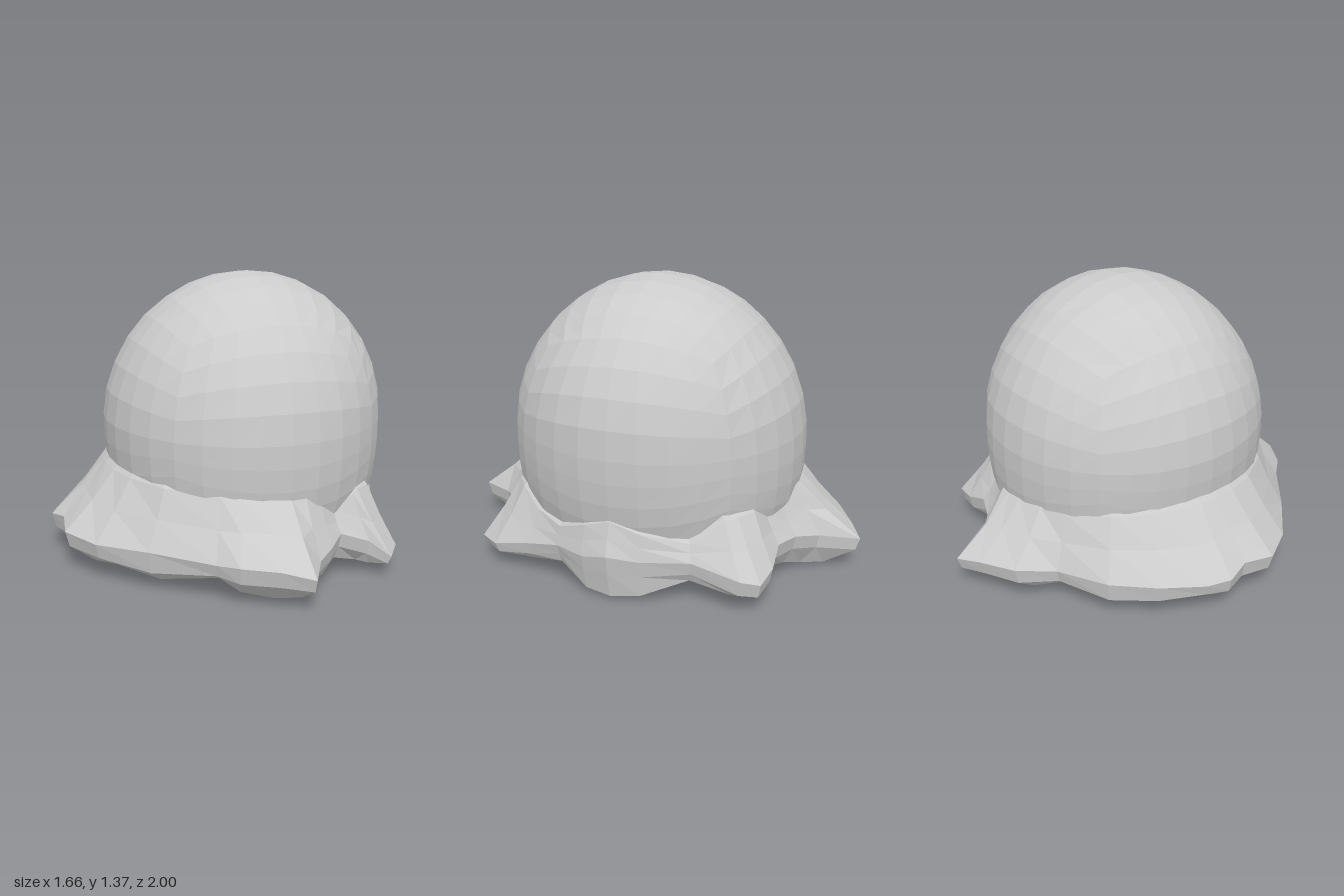
import * as THREE from 'three';

const CX = 0.12; // dome axis
const { lerp, smoothstep } = THREE.MathUtils;

// Skirt rim, running right -> front -> left -> back: x, z, rim height, lowest height
const RIM = [
  [0.83, 0, 0.24, 0.03], [0.80, 0.13, 0.21, 0.04], [0.74, 0.28, 0.21, 0.12], [0.70, 0.46, 0.17, 0.08],
  [0.68, 0.64, 0.13, 0.06], [0.60, 0.75, 0.12, 0.06], [0.52, 0.68, 0.18, 0.07], [0.38, 0.67, 0.23, 0.10],
  [0.30, 0.75, 0.20, 0.05], [0.21, 0.83, 0.18, 0.03], [0.12, 1.0, 0.17, 0.02], [-0.02, 0.94, 0.20, 0.02],
  [-0.17, 0.85, 0.20, 0.04], [-0.25, 0.76, 0.19, 0.09], [-0.50, 0.55, 0.20, 0.04], [-0.70, 0.36, 0.19, 0.06],
  [-0.81, 0.18, 0.20, 0.03], [-0.79, 0.02, 0.22, 0.01], [-0.83, -0.10, 0.20, 0.02], [-0.79, -0.21, 0.19, 0.06],
  [-0.68, -0.40, 0.20, 0.05], [-0.52, -0.57, 0.20, 0.05], [-0.28, -0.69, 0.19, 0.08], [-0.17, -0.85, 0.20, 0.04],
  [0.0, -0.94, 0.19, 0.02], [0.12, -1.0, 0.17, 0.02], [0.19, -0.82, 0.19, 0.03], [0.30, -0.73, 0.22, 0.07],
  [0.43, -0.68, 0.23, 0.10], [0.57, -0.69, 0.18, 0.07], [0.70, -0.67, 0.16, 0.06], [0.74, -0.59, 0.18, 0.07],
  [0.72, -0.36, 0.22, 0.12], [0.79, -0.14, 0.22, 0.04],
];

// Dome: a cube blown up to a sphere leaning slightly to +x, with straighter walls and a shallow base
function domeGeometry() {
  const g = new THREE.BoxGeometry(2, 2, 2, 8, 8, 8);
  const p = g.attributes.position;
  const v = new THREE.Vector3();
  for (let i = 0; i < p.count; i++) {
    v.fromBufferAttribute(p, i);
    v.set(...v.toArray().map((c) => Math.tan(c * Math.PI / 4))).normalize();
    if (v.y < -1e-6) {
      const h = Math.hypot(v.x, v.z);
      const k = h > 1e-4 ? Math.pow(h, 0.25) / h : 0;
      v.x *= k;
      v.z *= k;
      v.y *= 0.8;
    }
    const lean = 0.03 * Math.max(v.y, 0);
    p.setXYZ(i, CX + lean + v.x * 0.685, 0.68 + v.y * 0.7, v.z * (0.705 - 0.04 * v.y));
  }
  g.computeVertexNormals();
  return g;
}

// Skirt: one cross-section per rim point, from the dome wall over the rim and back underneath
function skirtGeometry() {
  const pos = [], index = [];
  const n = RIM.length, m = 8;
  RIM.forEach(([x, z, rim, low]) => {
    const a = Math.atan2(z, x - CX);
    const R = Math.hypot(x - CX, z);
    const lobe = smoothstep(R, 0.69, 0.83); // 0 in the gaps, 1 on the lobes
    const rise = Math.max(lobe, Math.cos(a) ** 30); // the short right lobe climbs as high as the others
    const attach = 0.43 - 0.04 * Math.cos(a) - 0.1 * (1 - rise);
    const wall = lerp(0.66, 0.695, lobe);
    const lip = 0.4 + 0.25 * Math.sin(2 * a) ** 2;
    const inner = 0.57 - 0.05 * Math.cos(a);
    const section = [
      [wall - 0.05, attach + 0.05],
      [wall, attach],
      [lerp(wall, R, 0.45), lerp(attach, rim, 0.5)],
      [R, rim],
      [R * 0.98, lerp(rim, low, lip)],
      [lerp(0.62, R, 0.55), low],
      [inner, low + 0.04],
      [inner - 0.04, 0.19],
    ];
    section.forEach(([r, y]) => pos.push(CX + r * Math.cos(a), y, r * Math.sin(a)));
  });
  for (let i = 0; i < n; i++) {
    for (let j = 0; j < m - 1; j++) {
      const a = i * m + j, c = ((i + 1) % n) * m + j;
      index.push(a, c, a + 1, c, c + 1, a + 1);
    }
  }
  const g = new THREE.BufferGeometry();
  g.setAttribute('position', new THREE.Float32BufferAttribute(pos, 3));
  g.setIndex(index);
  g.computeVertexNormals();
  return g;
}

export function createModel() {
  const group = new THREE.Group();
  const material = new THREE.MeshStandardMaterial({
    color: 0xcccccc, flatShading: true, side: THREE.DoubleSide,
  });
  const add = (name, geometry) => {
    const mesh = new THREE.Mesh(geometry, material);
    mesh.name = name;
    group.add(mesh);
  };
  add('dome', domeGeometry());
  add('skirt', skirtGeometry());
  return group;
}
